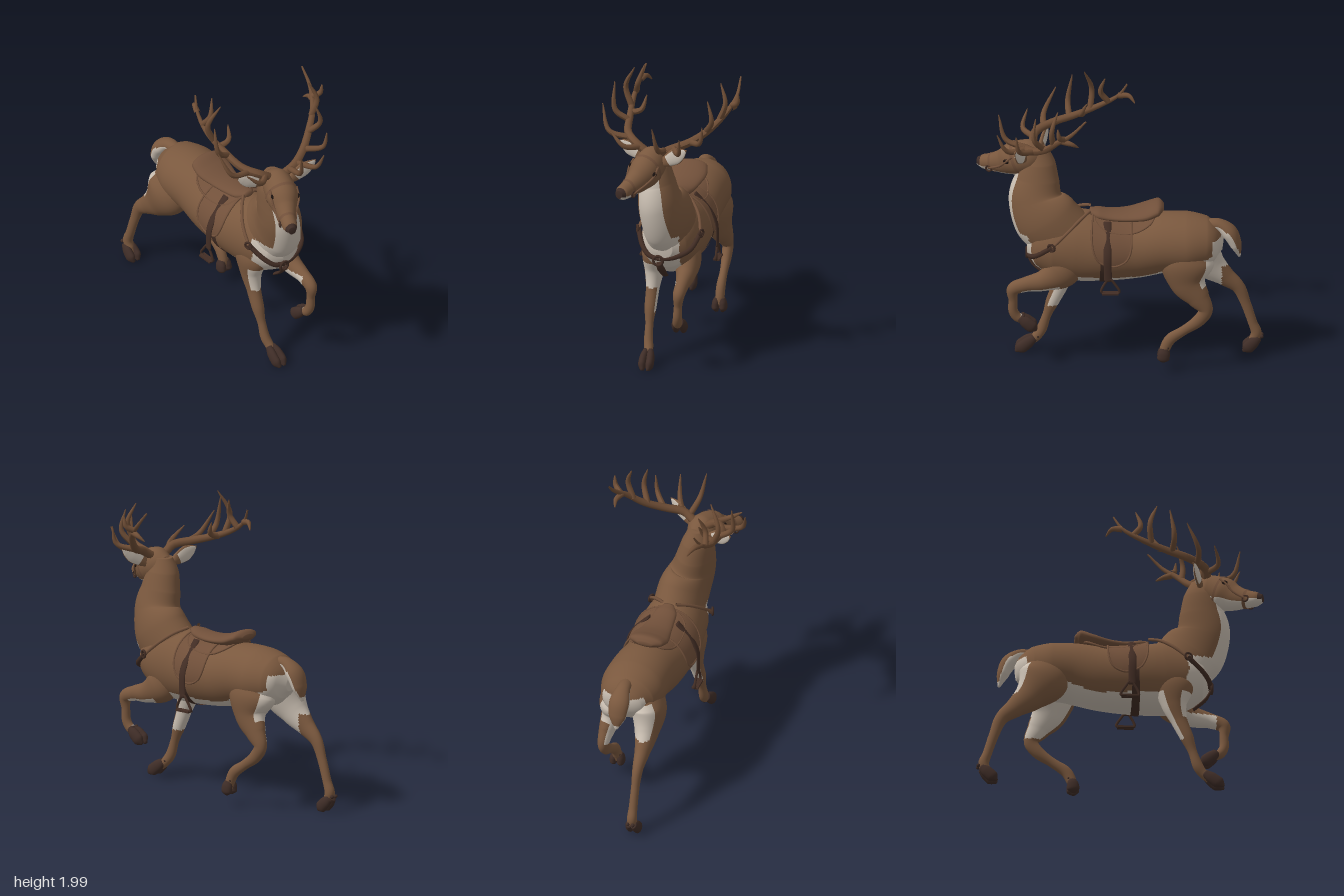
import * as THREE from 'three';
import { ParametricGeometry } from 'three/addons/geometries/ParametricGeometry.js';

const V = (x, y, z) => new THREE.Vector3(x, y, z);
const paint = (name, color, side = THREE.FrontSide) => {
  const m = new THREE.MeshStandardMaterial({ color, side });
  m.name = name;
  return m;
};

export function createModel() {
  const fur = paint('brown fur', 0x7a583e), cream = paint('cream fur', 0xc9beb1);
  const horn = paint('antler', 0x6e4d35), hoofMat = paint('hoof and nose', 0x3f2d27);
  const leather = paint('dark leather', 0x422d24, THREE.DoubleSide);
  const tan = paint('saddle leather', 0x71503a, THREE.DoubleSide), eyeMat = paint('eye', 0x1c1310);
  const coat = [fur, cream, hoofMat];
  const root = new THREE.Group();
  root.name = 'saddledStag';
  const add = (name, geo, mat) => {
    const m = new THREE.Mesh(geo, mat);
    m.name = name;
    root.add(m);
    return m;
  };

  // A body is a row of stations [x, y, z, halfWidth, halfDepth]
  const body = (stations, ref = V(1, 0, 0)) => ({
    path: new THREE.CatmullRomCurve3(stations.map(s => V(s[0], s[1], s[2]))),
    size: new THREE.CatmullRomCurve3(stations.map(s => V(s[3], s[4], 0))), ref,
  });
  const frame = (b, t) => {
    const p = b.path.getPoint(t), r = b.size.getPoint(t), d = b.path.getTangent(t);
    const side = b.ref.clone().addScaledVector(d, -b.ref.dot(d)).normalize();
    return { p, r, side, up: d.clone().cross(side) };
  };
  const onBody = (b, t, a, k = 1, f = frame(b, t)) => f.p.clone()
    .addScaledVector(f.side, f.r.x * k * Math.cos(a)).addScaledVector(f.up, f.r.y * k * Math.sin(a));

  // Skin over the stations; pick chooses the colour of each face
  function loft(b, { n = 40, seg = 24, t0 = 0, t1 = 1, k = 1, caps = true, pick = () => 0, floor = false } = {}) {
    const pos = [], lists = [[], [], []];
    for (let i = 0; i <= n; i++) {
      const t = t0 + (t1 - t0) * i / n, f = frame(b, t);
      for (let j = 0; j < seg; j++) {
        const p = onBody(b, t, j / seg * Math.PI * 2, k, f);
        if (floor) p.y = Math.max(0, p.y);
        pos.push(p.x, p.y, p.z);
      }
    }
    const at = i => V(pos[i * 3], pos[i * 3 + 1], pos[i * 3 + 2]);
    for (let i = 0; i < n; i++) for (let j = 0; j < seg; j++) {
      const q = (j + 1) % seg, a = i * seg + j, c = i * seg + q, e = a + seg, g = c + seg;
      const th = (j + 0.5) / seg * Math.PI * 2;
      const m = pick(at(a).add(at(g)).multiplyScalar(0.5), Math.cos(th), Math.sin(th), t0 + (t1 - t0) * (i + 0.5) / n);
      lists[Number(m)].push(a, c, g, a, g, e);
    }
    if (caps) for (const [i, t, flip] of [[0, t0, true], [n, t1, false]]) {
      const c = b.path.getPoint(t), id = pos.length / 3;
      pos.push(c.x, floor ? Math.max(0, c.y) : c.y, c.z);
      const m = Number(pick(c, 0, 0, t));
      for (let j = 0; j < seg; j++) {
        const u = i * seg + j, v = i * seg + (j + 1) % seg;
        lists[m].push(id, flip ? v : u, flip ? u : v);
      }
    }
    const geo = new THREE.BufferGeometry();
    geo.setAttribute('position', new THREE.Float32BufferAttribute(pos, 3));
    geo.setIndex(lists.flat());
    let start = 0;
    lists.forEach((l, m) => { if (l.length) geo.addGroup(start, l.length, m); start += l.length; });
    geo.computeVertexNormals();
    return geo;
  }
  const tube = (name, pts, r, mat, closed = false) => add(name,
    new THREE.TubeGeometry(new THREE.CatmullRomCurve3(pts, closed), 36, r, 8, closed), mat);
  const band = (name, b, t0, t1, k, mat) => add(name, loft(b, { n: 3, seg: 48, t0, t1, k, caps: false }), mat);

  // Torso, neck and head
  const torso = body([[0.015, .87, -.69, .04, .05], [.015, .875, -.65, .12, .11], [.02, .88, -.58, .185, .17],
    [.02, .88, -.45, .218, .2], [.015, .875, -.3, .215, .205], [0, .835, -.1, .215, .215], [0, .83, .1, .225, .23],
    [0, .845, .3, .212, .25], [0, .85, .45, .19, .22], [0, .85, .56, .14, .15], [0, .85, .62, .05, .06]]);
  add('torso', loft(torso, { n: 150, seg: 96, pick: p =>
    p.y < .675 + (p.z < -.15 ? (-.15 - p.z) * .35 : 0) || (p.z < -.62 && p.y < .94)
    || (p.z > .44 && p.y < .95 && Math.abs(p.x + .045) < .14) }), coat);
  const neck = body([[0, .9, .36, .165, .22], [-.005, 1.035, .49, .158, .23], [-.04, 1.165, .56, .14, .188],
    [-.065, 1.3, .555, .12, .153], [-.08, 1.42, .548, .1, .12], [-.08, 1.52, .55, .06, .07]], V(1, 0, .25));
  add('neck', loft(neck, { n: 90, seg: 72, pick: (p, c, s) =>
    (s < -.74 && p.y < 1.38) || (s < -.3 && p.y < .95 && Math.abs(p.x + .045) < .14) }), coat);
  const head = body([[-.07, 1.475, .5, .045, .05], [-.085, 1.462, .59, .098, .115], [-.118, 1.427, .69, .104, .118],
    [-.158, 1.385, .77, .077, .09], [-.202, 1.358, .85, .054, .062], [-.23, 1.347, .91, .048, .05], [-.245, 1.345, .95, .025, .028]]);
  add('head', loft(head, { n: 64, seg: 48, pick: (p, c, s, t) =>
    t > .89 && s > -.35 ? 2 : s < -.6 || (t > .72 && s < -.2) ? 1 : 0 }), coat);
  for (const [t, a, turn] of [[.37, .35, 1.15], [.37, Math.PI - .35, -2]]) {
    const eye = add('eye', new THREE.SphereGeometry(.019, 16, 12), eyeMat);
    eye.position.copy(onBody(head, t, a, .97));
    eye.rotation.y = turn;
    eye.scale.set(1.2, .9, .6);
  }

  // Ears, pale with a brown base and upper rim
  const up = V(0, 1, 0);
  for (const [a, b] of [[V(-.02, 1.465, .63), V(.165, 1.6, .7)], [V(-.15, 1.465, .54), V(-.335, 1.555, .48)]]) {
    const st = [[0, .02, .02], [.25, .042, .02], [.55, .054, .018], [.8, .038, .012], [1, .004, .004]]
      .map(([t, w, d]) => [...a.clone().lerp(b, t).toArray(), w, d]);
    add('ear', loft(body(st, up), { seg: 36, pick: (p, c, s, t) => c < .8 && c > -.93 && t > .28 && t < .95 }), coat);
  }

  // Tail, pale below and at the tip
  add('tail', loft(body([[.02, 1.0, -.56, .04, .04], [.02, 1.005, -.66, .048, .04], [.02, .945, -.735, .07, .052],
    [.02, .86, -.775, .06, .04], [.02, .77, -.8, .01, .008]]), { seg: 36, pick: (p, c, s, t) => s > .1 - t * .45 || t > .93 }), coat);

  // Legs
  const leg = (name, st, pick) => add(name, loft(body(st), { n: 90, seg: 40, pick }), coat);
  leg('rightFrontLeg', [[-.1, .84, .36, .07, .11], [-.115, .74, .36, .085, .135], [-.12, .6, .365, .065, .085],
    [-.125, .48, .4, .045, .055], [-.13, .36, .45, .04, .045], [-.13, .25, .49, .027, .03], [-.128, .15, .525, .031, .035],
    [-.12, .1, .56, .03, .032], [-.12, .06, .6, .024, .024]],
  (p, c, s) => p.y > .34 && p.y < .68 && ((c > .3 && s < .55) || s < -.6 || (s > .5 && p.y > .5)));
  leg('leftFrontLeg', [[.1, .85, .33, .07, .12], [.11, .71, .38, .09, .125], [.12, .635, .5, .065, .075],
    [.12, .605, .62, .046, .052], [.115, .565, .708, .04, .045], [.11, .48, .712, .028, .03], [.105, .4, .71, .03, .032],
    [.1, .355, .685, .031, .033], [.1, .33, .64, .024, .024]],
  (p, c, s) => p.z < .66 && p.z > .4 && p.y < .63 && (s < -.6 || c < -.6));
  leg('leftHindLeg', [[.09, .93, -.48, .07, .11], [.13, .77, -.45, .115, .18], [.155, .64, -.46, .085, .125],
    [.18, .54, -.525, .055, .08], [.19, .45, -.575, .038, .048], [.19, .375, -.53, .034, .043], [.19, .3, -.43, .027, .033],
    [.19, .235, -.34, .031, .038], [.19, .17, -.305, .031, .035], [.19, .12, -.295, .024, .026]],
  (p, c, s) => p.y > .46 && p.y < .88 && (c < -.45 || (s < -.7 && p.y > .62)));
  leg('rightHindLeg', [[-.07, .93, -.48, .07, .11], [-.11, .77, -.51, .112, .17], [-.125, .64, -.6, .08, .11],
    [-.13, .55, -.7, .052, .068], [-.13, .47, -.79, .036, .045], [-.13, .35, -.84, .028, .034], [-.13, .21, -.885, .029, .031],
    [-.13, .13, -.91, .033, .036], [-.13, .08, -.89, .028, .03], [-.13, .05, -.87, .02, .02]],
  (p, c, s) => p.y > .48 && p.y < .88 && ((c > .35 && p.z > -.68) || (s < -.75 && p.y > .64)));

  // Cloven hooves with dew claws
  for (const [x, y, z, dy, dz] of [[-.12, .1, .57, -.1, .125], [.1, .355, .665, -.09, -.11],
    [.19, .17, -.3, -.095, .01], [-.13, .1, -.925, -.1, .1]])
    for (const s of [-1, 1]) {
      const st = [[0, .015, .02, .026], [.35, .023, .027, .04], [.7, .025, .027, .042], [1, .018, .01, .012]]
        .map(([t, o, a, b]) => [x + s * o, y + dy * t, z + dz * t, a, b]);
      add('hoof', loft(body(st), { n: 16, seg: 20, floor: true }), hoofMat);
      const claw = add('dewClaw', new THREE.SphereGeometry(.013, 10, 8), hoofMat);
      claw.position.set(x + s * .018, y + .01, z - .022);
    }

  // Antlers: tapered beams and tines
  function branch(name, pts, r, tip) {
    const curve = new THREE.CatmullRomCurve3(pts.map(p => V(...p))), n = 24, sides = 9;
    const geo = new THREE.TubeGeometry(curve, n, r, sides), pos = geo.attributes.position, v = V();
    for (let i = 0; i < pos.count; i++) {
      const t = Math.floor(i / (sides + 1)) / n, c = curve.getPointAt(t);
      v.fromBufferAttribute(pos, i).sub(c).multiplyScalar(1 - (1 - tip) * t * t).add(c);
      pos.setXYZ(i, v.x, v.y, v.z);
    }
    geo.computeVertexNormals();
    add(name, geo, horn);
  }
  branch('leftBeam', [[-.04, 1.52, .6], [.04, 1.57, .62], [.16, 1.61, .57], [.28, 1.68, .49], [.37, 1.77, .42], [.43, 1.86, .32], [.44, 1.97, .22]], .029, .2);
  branch('rightBeam', [[-.12, 1.52, .58], [-.2, 1.575, .57], [-.28, 1.61, .46], [-.3, 1.66, .3], [-.31, 1.73, .13], [-.29, 1.81, .01], [-.26, 1.91, -.05]], .029, .2);
  for (const t of [
    [[0, 1.56, .62], [-.02, 1.61, .76], [-.05, 1.78, .81]], [[.06, 1.58, .62], [.12, 1.59, .75], [.14, 1.72, .82]],
    [[.17, 1.61, .57], [.25, 1.65, .67], [.27, 1.77, .69]], [[.26, 1.67, .5], [.31, 1.77, .57], [.28, 1.91, .56]],
    [[.34, 1.74, .44], [.38, 1.86, .45], [.34, 1.99, .41]], [[.41, 1.82, .37], [.45, 1.85, .4], [.46, 1.92, .41]],
    [[.4, 1.8, .38], [.42, 1.79, .32], [.41, 1.76, .27]],
    [[-.17, 1.56, .58], [-.27, 1.58, .65], [-.37, 1.67, .62]], [[-.25, 1.59, .51], [-.4, 1.63, .51], [-.46, 1.79, .43]],
    [[-.3, 1.65, .34], [-.39, 1.72, .35], [-.4, 1.91, .32]], [[-.31, 1.7, .2], [-.35, 1.83, .19], [-.28, 1.99, .24]],
    [[-.3, 1.76, .08], [-.28, 1.84, .13], [-.24, 1.96, .1]], [[-.29, 1.81, .01], [-.26, 1.82, -.06], [-.23, 1.78, -.1]],
    [[-.3, 1.67, .25], [-.23, 1.7, .26], [-.2, 1.79, .22]]]) branch('tine', t, .021, .15);

  // Saddle seat, skirts and flaps draped over the back
  add('saddleSeat', loft(body([[0, 1.125, -.295, .05, .015], [0, 1.125, -.26, .115, .042], [0, 1.095, -.18, .128, .042],
    [0, 1.072, -.06, .105, .032], [0, 1.068, .06, .085, .032], [0, 1.08, .14, .075, .034], [0, 1.1, .2, .035, .018]])), tan);
  function panel(name, tc, tw, a0, a1, k, s) {
    const point = (u, v) => {
      const p = onBody(torso, tc + (u * 2 - 1) * tw * Math.sqrt(1.001 - v ** 4), a0 + (a1 - a0) * v, k);
      p.x *= s;
      return p;
    };
    add(name, new ParametricGeometry((u, v, out) => out.copy(point(u, v)), 20, 24), tan);
    const edge = [];
    for (let i = 0; i <= 12; i++) edge.push(point(0, i / 12));
    for (let i = 11; i >= 0; i--) edge.push(point(1, i / 12));
    tube(name + 'Piping', edge, .007, tan);
  }
  for (const s of [-1, 1]) {
    panel('saddleSkirt', .53, .115, 1.57, .8, 1.035, s);
    panel('saddleFlap', .573, .078, 1.4, -.17, 1.055, s);
    // Stirrup leather, iron and tread
    add('stirrupLeather', loft(body([[s * .1, 1.06, .08, .009, .026], [s * .19, .96, .08, .009, .026],
      [s * .243, .86, .08, .009, .026], [s * .25, .69, .075, .009, .026]])), leather);
    tube('stirrup', [[.71, .065], [.67, .1], [.61, .12], [.6, .06], [.61, .0], [.67, .03]]
      .map(([y, z]) => V(s * .25, y, z)), .009, leather, true);
    add('stirrupTread', new THREE.BoxGeometry(.045, .012, .11), leather).position.set(s * .25, .602, .06);
    // Breast strap: slim rear part, buckle, broad front part
    tube('breastStrapRear', [V(s * .05, 1.115, .2), V(s * .12, 1.075, .27), V(s * .178, 1.01, .35), V(s * .212, .92, .45)], .011, tan);
    tube('breastStrapFront', [V(s * .212, .92, .45), V(s * .16, .835, .555), V(s * .085 - .02, .79, .6), V(-.035, .775, .61)], .017, leather);
    const ring = add('buckle', new THREE.TorusGeometry(.024, .008, 8, 20), leather);
    ring.position.set(s * .217, .92, .455);
    ring.rotation.y = s * 1.2;
    // Bridle cheek strap and bit ring
    const a = s > 0 ? 0 : Math.PI;
    tube('cheekStrap', [.3, .4, .5, .6, .68].map((t, i) => onBody(head, t, a + s * (.5 - i * .2), 1.05)), .008, tan);
    const bit = add('bitRing', new THREE.TorusGeometry(.02, .006, 8, 20), leather);
    bit.position.copy(onBody(head, .69, a - s * .35, 1.08));
    bit.rotation.y = s > 0 ? 1.15 : -2;
  }
  add('chestRing', new THREE.TorusGeometry(.032, .01, 8, 24), leather).position.set(-.045, .765, .62);
  add('chestDropStrap', loft(body([[-.04, .75, .615, .018, .008], [-.03, .69, .58, .028, .01],
    [-.02, .62, .5, .022, .01]])), leather);
  band('girth', torso, .588, .612, 1.03, leather);
  band('noseband', head, .645, .685, 1.06, tan);
  band('browband', head, .29, .32, 1.045, tan);
  return root;
}
